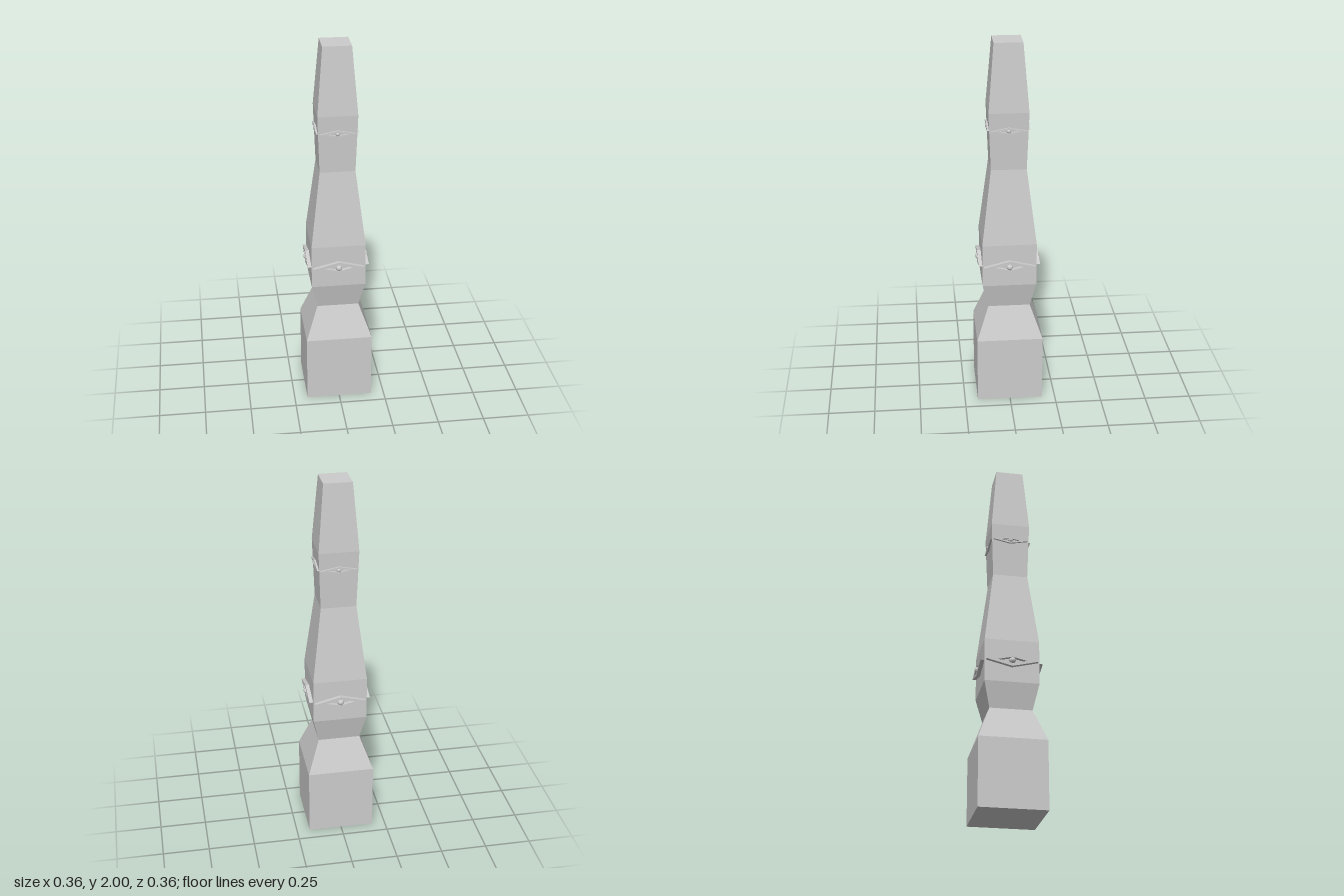
import * as THREE from 'three';

const stone = new THREE.MeshStandardMaterial({ color: 0xcccccc, flatShading: true });
stone.name = 'grey stone';

function addMesh(parent, name, geometry) {
  const mesh = new THREE.Mesh(geometry, stone);
  mesh.name = name;
  parent.add(mesh);
  return mesh;
}

// Traces a diamond outline on a shape or a hole path
function diamond(path, w, h) {
  path.moveTo(w, 0);
  path.lineTo(0, h);
  path.lineTo(-w, 0);
  path.lineTo(0, -h);
  path.closePath();
  return path;
}

// Diamond frame with a round stud, standing out from the front face
function createOrnament({ w, h, back, front, stud, studZ }) {
  const ornament = new THREE.Group();
  const shape = diamond(new THREE.Shape(), w, h);
  shape.holes.push(diamond(new THREE.Path(), w * 0.56, h * 0.52));
  const frame = new THREE.ExtrudeGeometry(shape, { depth: front - back, bevelEnabled: false });
  addMesh(ornament, 'diamondFrame', frame.translate(0, 0, back));
  const ball = new THREE.SphereGeometry(stud, 8, 6).rotateX(Math.PI / 2);
  addMesh(ornament, 'stud', ball.translate(0, 0, studZ));
  return ornament;
}

export function createModel() {
  const model = new THREE.Group();
  model.name = 'pillar';

  // Square shaft: half width and height of each level
  const levels = [
    [0, 0], [0.179, 0], [0.179, 0.367], [0.113, 0.547], [0.145, 0.685], [0.145, 0.92],
    [0.094, 1.33], [0.105, 1.64], [0.075, 2], [0, 2],
  ];
  const profile = levels.map(([r, y]) => new THREE.Vector2(r * Math.SQRT2, y));
  addMesh(model, 'shaft', new THREE.LatheGeometry(profile, 4, Math.PI / 4));

  // Two bands of ornaments, one on each side
  const bands = [
    { name: 'lowerOrnament', y: 0.8, w: 0.137, h: 0.034, back: 0.14, front: 0.165, stud: 0.018, studZ: 0.158 },
    { name: 'upperOrnament', y: 1.545, w: 0.095, h: 0.019, back: 0.096, front: 0.111, stud: 0.013, studZ: 0.103 },
  ];
  for (const band of bands) {
    for (let side = 0; side < 4; side++) {
      const ornament = createOrnament(band);
      ornament.name = band.name;
      ornament.position.y = band.y;
      ornament.rotation.y = side * Math.PI / 2;
      model.add(ornament);
    }
  }
  return model;
}
